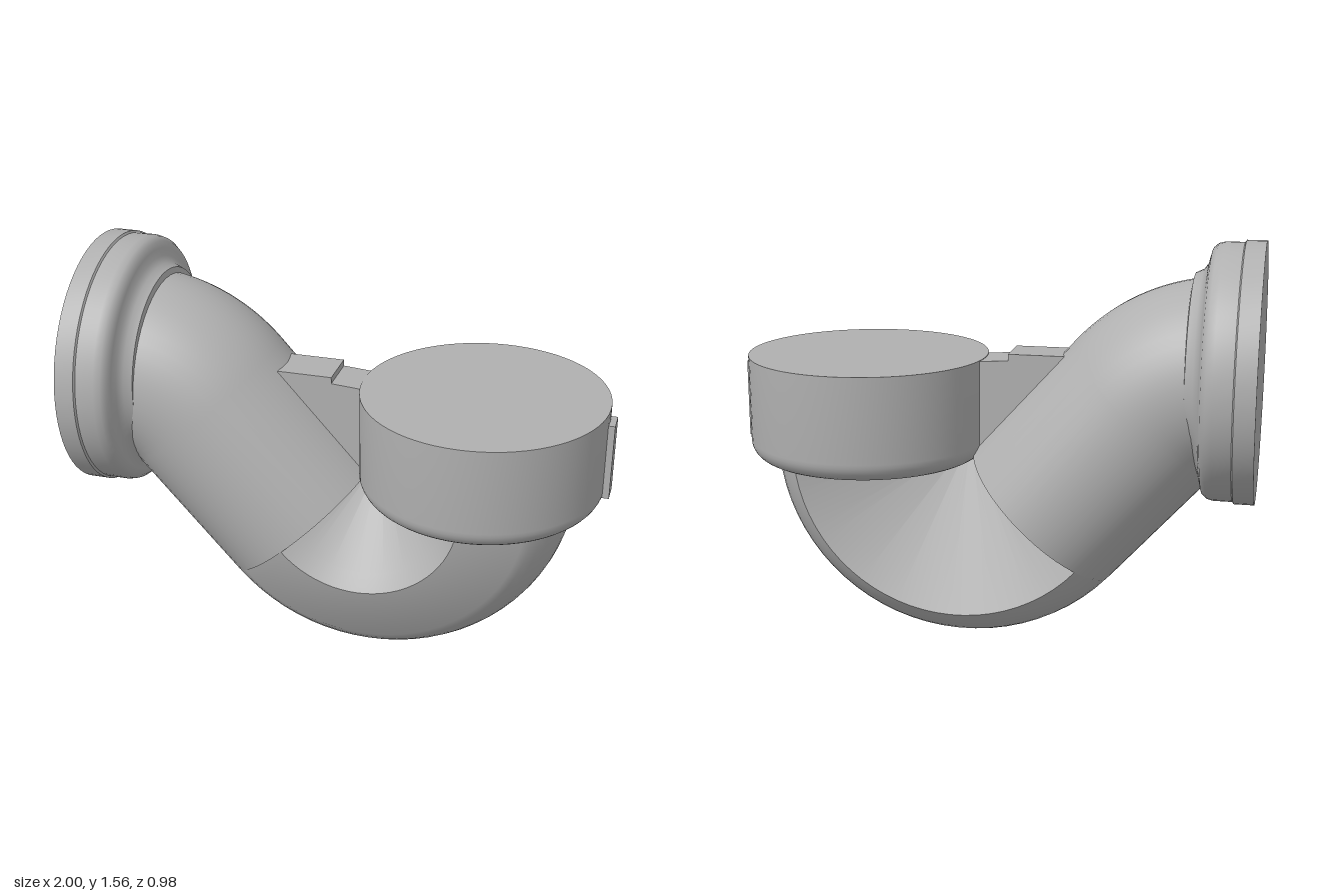
import * as THREE from 'three';
import { toCreasedNormals } from 'three/addons/utils/BufferGeometryUtils.js';

const PIPE_R = 0.365, BEND_R = 0.4;
const SLOPE = THREE.MathUtils.degToRad(48); // downward slope of the diagonal run

// Sweep a closed ring of [outward, z] offsets along frames {x, y, nx, ny}
function sweep(ring, frames, capEnd) {
  const pos = [], idx = [], n = ring.length;
  for (const f of frames)
    for (const [a, z] of ring) pos.push(f.x + a * f.nx, f.y + a * f.ny, z);
  for (let i = 0; i < frames.length - 1; i++)
    for (let j = 0; j < n; j++) {
      const k = (j + 1) % n;
      const a = i * n + j, b = a + n, c = (i + 1) * n + k, d = i * n + k;
      idx.push(a, b, c, a, c, d);
    }
  if (capEnd) {
    const f = frames[frames.length - 1], base = (frames.length - 1) * n;
    const centre = pos.length / 3;
    pos.push(f.x, f.y, 0);
    for (let j = 0; j < n; j++) idx.push(centre, base + (j + 1) % n, base + j);
  }
  const g = new THREE.BufferGeometry();
  g.setAttribute('position', new THREE.Float32BufferAttribute(pos, 3));
  g.setIndex(idx);
  return toCreasedNormals(g, 0.45);
}

// Frames along a circular bend, outward direction pointing away from its centre
function bendFrames(cx, cy, from, to, steps) {
  const out = [];
  for (let i = 0; i <= steps; i++) {
    const t = from + (to - from) * i / steps;
    const nx = Math.cos(t), ny = Math.sin(t);
    out.push({ x: cx + BEND_R * nx, y: cy + BEND_R * ny, nx, ny });
  }
  return out;
}

function lathe(points) {
  const g = new THREE.LatheGeometry(points.map(([r, y]) => new THREE.Vector2(r, y)), 72);
  return toCreasedNormals(g, 0.6);
}

export function createModel() {
  const model = new THREE.Group();
  model.name = 'pipeTrap';
  const grey = new THREE.MeshStandardMaterial({ color: 0xb0b0b0 });
  grey.name = 'grey';
  const add = (name, geometry) => {
    const mesh = new THREE.Mesh(geometry, grey);
    mesh.name = name;
    model.add(mesh);
    return mesh;
  };

  // Upper bend and diagonal run, closed where it meets the lower bend
  const circle = [];
  for (let j = 0; j < 48; j++) {
    const t = j / 48 * Math.PI * 2;
    circle.push([PIPE_R * Math.cos(t), -PIPE_R * Math.sin(t)]);
  }
  const lower = { x: 0.11, y: 0.76 };
  const upperFrames = bendFrames(-0.876, 0.66, Math.PI / 2, Math.PI / 2 - SLOPE, 16);
  const nx = Math.sin(SLOPE), ny = Math.cos(SLOPE);
  upperFrames.push({ x: lower.x - BEND_R * nx, y: lower.y - BEND_R * ny, nx, ny });
  add('diagonalPipe', sweep(circle, upperFrames, true));

  // Lower U bend: round outside, cut away on both sides towards the inner edge
  const section = [];
  for (let j = 0; j <= 16; j++) {
    const t = THREE.MathUtils.degToRad(-52 + 104 * j / 16);
    section.push([PIPE_R * Math.cos(t), PIPE_R * Math.sin(t)]);
  }
  section.push([-0.01, 0.365], [-0.06, 0.3], [-PIPE_R, 0]);
  add('lowerBend', sweep(section,
    bendFrames(lower.x, lower.y, Math.PI * 1.5 - SLOPE, Math.PI * 2, 28), false));

  // Socket collar on the open end, turned about the x axis
  const collar = lathe([
    [0, -1], [0.49, -1], [0.49, -0.925], [0.482, -0.92], [0.482, -0.85],
    [0.476, -0.825], [0.46, -0.807], [0.435, -0.8], [0.405, -0.793],
    [0.38, -0.775], [0.366, -0.745], [0.34, -0.74],
  ]);
  collar.rotateZ(-Math.PI / 2);
  add('collar', collar).position.y = 1.07;

  // Cup with a rounded lower rim
  const cup = [[0, 0.685]];
  for (let i = 0; i <= 8; i++) {
    const t = i / 8 * Math.PI / 2;
    cup.push([0.392 + 0.075 * Math.sin(t), 0.76 - 0.075 * Math.cos(t)]);
  }
  cup.push([0.467, 1.09], [0, 1.09]);
  add('cup', lathe(cup)).position.x = 0.51;

  // Small rib on the outer side of the cup
  add('cupRib', new THREE.BoxGeometry(0.06, 0.3, 0.084)).position.set(0.97, 0.89, 0);

  // Web joining the cup to the diagonal run
  const web = new THREE.Shape([
    [-0.27, 1.12], [-0.3, 1.1], [0.02, 0.73], [0.08, 0.73],
    [0.08, 1.085], [-0.06, 1.095], [-0.06, 1.12],
  ].map(([x, y]) => new THREE.Vector2(x, y)));
  add('web', new THREE.ExtrudeGeometry(web, { depth: 0.17, bevelEnabled: false }))
    .position.z = -0.085;

  return model;
}
